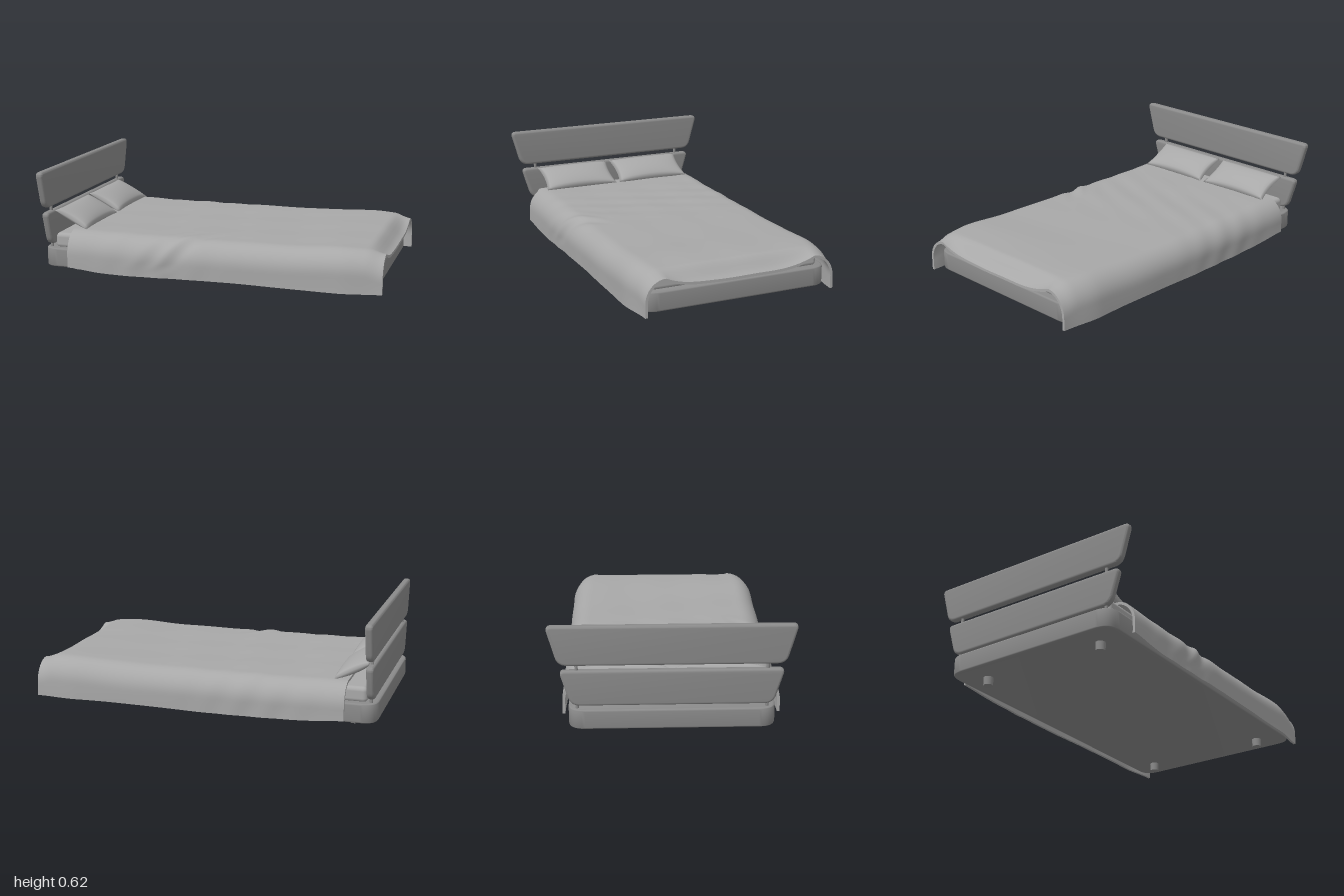
import * as THREE from 'three';
import { toCreasedNormals, mergeGeometries, mergeVertices } from 'three/addons/utils/BufferGeometryUtils.js';
import { RoundedBoxGeometry } from 'three/addons/geometries/RoundedBoxGeometry.js';

const fabric = new THREE.MeshStandardMaterial({ color: 0xa8a8a8 });
fabric.name = 'fabric';
const frame = new THREE.MeshStandardMaterial({ color: 0x8a8a8a });
frame.name = 'frame';

function part(name, geometry, material, x = 0, y = 0, z = 0) {
  const mesh = new THREE.Mesh(geometry, material);
  mesh.name = name;
  mesh.position.set(x, y, z);
  return mesh;
}

// Polygon whose corners are rounded by the radius in each [x, y, r]
function roundedShape(corners) {
  const shape = new THREE.Shape();
  const n = corners.length;
  corners.forEach(([x, y, r], i) => {
    const p = new THREE.Vector2(x, y);
    const toward = (q) => new THREE.Vector2(q[0], q[1]).sub(p).setLength(r).add(p);
    const a = toward(corners[(i + n - 1) % n]);
    const b = toward(corners[(i + 1) % n]);
    if (i === 0) shape.moveTo(a.x, a.y);
    else shape.lineTo(a.x, a.y);
    shape.quadraticCurveTo(x, y, b.x, b.y);
  });
  shape.closePath();
  return shape;
}

// Slab of a given thickness, centred on its depth, with softened rims
function slab(corners, thickness, bevel) {
  const geo = new THREE.ExtrudeGeometry(roundedShape(corners), {
    depth: thickness - 2 * bevel, bevelEnabled: true, bevelThickness: bevel,
    bevelSize: bevel, bevelOffset: -bevel, bevelSegments: 4, curveSegments: 10,
  });
  geo.translate(0, 0, -(thickness - 2 * bevel) / 2);
  return toCreasedNormals(geo, 0.7);
}

// Headboard panel, wider at the top than at the bottom
function panel(topHalf, bottomHalf, y0, y1) {
  const corners = [[-bottomHalf, y0, 0.05], [bottomHalf, y0, 0.05], [topHalf, y1, 0.035], [-topHalf, y1, 0.035]];
  return slab(corners, 0.042, 0.014).rotateY(-Math.PI / 2);
}

// Cushion with pinched corners: two puffed sheets joined at the seam
function pillowGeometry() {
  const halves = [1, -1].map((side) => {
    const g = new THREE.PlaneGeometry(2, 2, 20, 28);
    const p = g.attributes.position;
    for (let i = 0; i < p.count; i++) {
      const u = p.getX(i), v = p.getY(i);
      const a = Math.max(0, 1 - u * u), b = Math.max(0, 1 - v * v);
      const puff = 0.042 * Math.pow(a * b, 0.45);
      p.setXYZ(i, u * 0.11 * (1 - 0.06 * b), v * 0.24 * (1 - 0.06 * a), puff);
    }
    if (side < 0) g.rotateX(Math.PI);
    g.deleteAttribute('normal');
    g.deleteAttribute('uv');
    return g;
  });
  const geo = mergeVertices(mergeGeometries(halves), 1e-4);
  geo.rotateX(-Math.PI / 2);
  geo.computeVertexNormals();
  return geo;
}

const bump = (d, w) => Math.exp(-(d * d) / (w * w));

// Point on the draped cover: t runs from the right hem (-1) to the left hem (1)
function coverPoint(x, t, inner) {
  const s = Math.sign(t), k = Math.abs(t);
  const width = 0.588 - 0.025 * THREE.MathUtils.smoothstep(x, 0.75, 1);
  const rz = 0.12, ry = 0.13;
  const foot = THREE.MathUtils.smoothstep(x, 0.9, 1);
  let top = 0.262 + 0.012 * bump(x - 0.76, 0.2) + 0.005 * bump(x + 0.8, 0.2) - 0.022 * foot;
  const hem = 0.042 + 0.018 * bump(x + 0.83, 0.15) + 0.004 * Math.sin(5 * x + s);
  let z, y, nz = 0, ny = 1;
  if (k < 0.6) {
    z = (k / 0.6) * (width - rz);
    y = top - 0.05 * foot * (1 - Math.pow(k / 0.6, 4));
  } else if (k < 0.85) {
    const a = ((k - 0.6) / 0.25) * Math.PI / 2;
    nz = Math.sin(a);
    ny = Math.cos(a);
    z = width - rz + rz * nz;
    y = top - ry + ry * ny;
  } else {
    nz = 1;
    ny = 0;
    z = width;
    y = THREE.MathUtils.lerp(top - ry, hem, (k - 0.85) / 0.15);
  }
  // Gentle ripples, plus diagonal folds on the left side
  let off = 0.002 * Math.sin(9 * x + 6 * t) * Math.sin(7 * x - 9 * t);
  off += 0.002 * Math.sin(34 * x + 11 * t) * bump(x + 0.3, 0.3);
  if (t > 0.45) {
    const fold = Math.sin(Math.PI * Math.min(1, (t - 0.45) / 0.5));
    const line = x + 0.2 + 0.6 * (t - 0.75);
    off += fold * (0.009 * bump(line, 0.035) - 0.007 * bump(line - 0.08, 0.04) + 0.005 * bump(line + 0.13, 0.05));
  }
  if (inner) off -= 0.015;
  return [x, y + ny * off, s * (z + nz * off)];
}

// Bed cover: a thick sheet swept along the bed, open underneath and at both ends
function coverGeometry() {
  const rows = 100, cols = 80, loop = 2 * (cols + 1);
  const pos = [], idx = [];
  for (let i = 0; i <= rows; i++) {
    const x = -0.83 + 1.83 * (i / rows);
    for (let j = 0; j <= cols; j++) pos.push(...coverPoint(x, -1 + (2 * j) / cols, false));
    for (let j = cols; j >= 0; j--) pos.push(...coverPoint(x, -1 + (2 * j) / cols, true));
  }
  for (let i = 0; i < rows; i++) {
    for (let j = 0; j < loop; j++) {
      const a = i * loop + j, b = i * loop + (j + 1) % loop;
      idx.push(a, b, a + loop, b, b + loop, a + loop);
    }
  }
  // Rims at the head and foot ends
  const last = rows * loop;
  for (let j = 0; j < cols; j++) {
    const o = j, o1 = j + 1, n = loop - 1 - j, n1 = loop - 2 - j;
    idx.push(o, n, o1, o1, n, n1);
    idx.push(last + o, last + o1, last + n, last + o1, last + n1, last + n);
  }
  const geo = new THREE.BufferGeometry();
  geo.setAttribute('position', new THREE.Float32BufferAttribute(pos, 3));
  geo.setIndex(idx);
  return toCreasedNormals(geo, 0.9);
}

export function createModel() {
  const bed = new THREE.Group();
  bed.name = 'bed';

  // Platform with rounded corners
  const r = 0.09;
  const plan = [[-1, -0.55, r], [0.96, -0.55, r], [0.96, 0.55, r], [-1, 0.55, r]];
  bed.add(part('base', slab(plan, 0.11, 0.01).rotateX(-Math.PI / 2), frame, 0, 0.103, 0));

  // Short feet and headboard posts
  for (const z of [-0.385, 0.385]) {
    for (const x of [-0.85, 0.81]) {
      bed.add(part('foot', new THREE.CylinderGeometry(0.028, 0.027, 0.055, 24), frame, x, 0.0275, z));
    }
  }
  for (const z of [-0.502, 0.502]) {
    bed.add(part('headboardPost', new THREE.CylinderGeometry(0.009, 0.009, 0.3, 16), frame, -0.963, 0.29, z));
  }

  // Two headboard panels
  bed.add(part('upperHeadboard', panel(0.66, 0.598, 0.402, 0.623), frame, -0.963));
  bed.add(part('lowerHeadboard', panel(0.595, 0.535, 0.175, 0.375), frame, -0.963));

  // Mattress, cover and pillows
  bed.add(part('mattress', new RoundedBoxGeometry(1.86, 0.09, 1.01, 4, 0.025), fabric, -0.01, 0.195, 0));
  bed.add(part('bedCover', coverGeometry(), fabric));
  const pillow = pillowGeometry();
  for (const z of [-0.25, 0.25]) {
    const mesh = part('pillow', pillow, fabric, -0.848, 0.32, z);
    mesh.rotation.z = -0.48;
    bed.add(mesh);
  }
  return bed;
}
